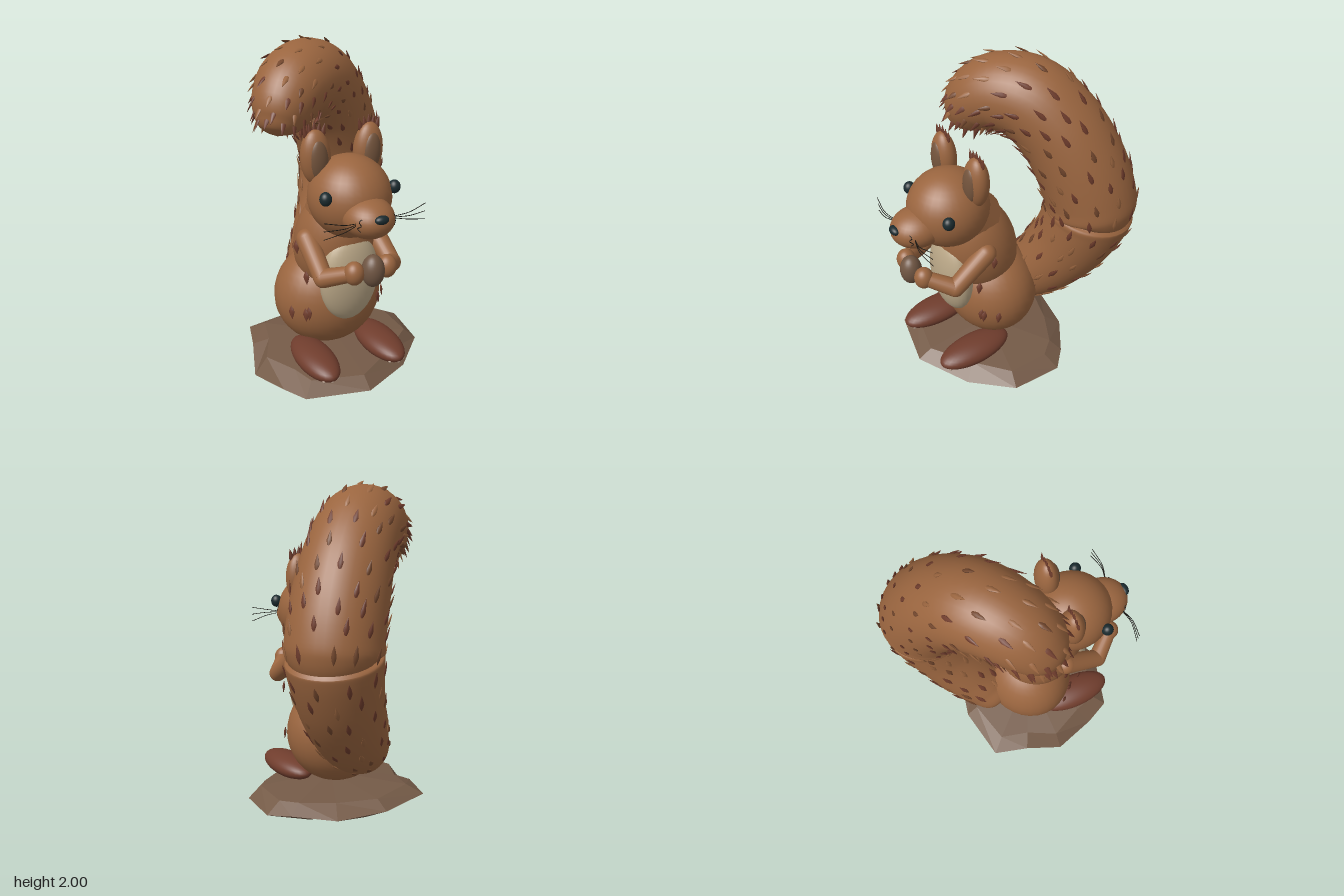
import * as THREE from 'three';
import { mergeGeometries } from 'three/addons/utils/BufferGeometryUtils.js';

const V = (x, y, z) => new THREE.Vector3(x, y, z);
const mat = (name, color) => {
  const m = new THREE.MeshStandardMaterial({ color });
  m.name = name;
  return m;
};

// Skin through rings of points, smooth around the loop
function loft(rings) {
  const n = rings[0].length, index = [];
  for (let i = 0; i < rings.length - 1; i++)
    for (let j = 0; j < n; j++) {
      const k = (j + 1) % n, a = i * n, b = a + n;
      index.push(a + j, a + k, b + j, a + k, b + k, b + j);
    }
  const g = new THREE.BufferGeometry().setFromPoints(rings.flat());
  g.setIndex(index);
  g.computeVertexNormals();
  return g;
}

export function createModel() {
  const fur = mat('fur', 0x9a653f), darkFur = mat('darkFur', 0x74482e), rust = mat('rust', 0x703d2d);
  const cream = mat('cream', 0xbaa787), shell = mat('shell', 0x6f5542), earPink = mat('innerEar', 0x75553d);
  const stone = mat('stone', 0x745a47), dark = mat('eyeDark', 0x1a2a2e);
  const black = mat('black', 0x15130f), claw = mat('claw', 0xb09a88);

  const model = new THREE.Group();
  const animal = new THREE.Group();
  animal.name = 'squirrel';
  animal.position.x = -0.06;
  model.add(animal);

  const add = (name, geo, m, parent = animal) => {
    const mesh = new THREE.Mesh(geo, m);
    mesh.name = name;
    parent.add(mesh);
    return mesh;
  };
  const ball = (name, m, p, r, tilt = 0) => {
    const mesh = add(name, new THREE.SphereGeometry(1, 32, 20), m);
    mesh.position.set(...p);
    mesh.scale.set(...r);
    mesh.rotation.x = tilt;
    return mesh;
  };
  const limb = (name, a, b, ra, rb) => {
    const d = b.clone().sub(a);
    const mesh = add(name, new THREE.CylinderGeometry(rb, ra, d.length(), 24), fur);
    mesh.position.copy(a).add(b).multiplyScalar(0.5);
    mesh.quaternion.setFromUnitVectors(V(0, 1, 0), d.normalize());
    return mesh;
  };
  const wire = (name, pts, r) =>
    add(name, new THREE.TubeGeometry(new THREE.CatmullRomCurve3(pts), 12, r, 5), black);
  // Pointed tuft lying along dir with its flat side facing out
  const tuftProfile = [[0.001, -1], [0.7, -0.5], [1, -0.1], [0.55, 0.5], [0.001, 1]].map(p => new THREE.Vector2(...p));
  const leaf = (p, dir, out, len, wid) => {
    const y = dir.clone().normalize();
    const x = y.clone().cross(out).normalize();
    const z = x.clone().cross(y);
    const g = new THREE.LatheGeometry(tuftProfile, 6).scale(wid, len, wid * 0.4);
    return g.applyMatrix4(new THREE.Matrix4().makeBasis(x, y, z).setPosition(p));
  };

  // Torso, neck and head
  ball('lowerBody', fur, [0, 0.5, 0.06], [0.33, 0.32, 0.28]);
  ball('upperBody', fur, [0, 0.865, 0.148], [0.235, 0.35, 0.238], 0.3);
  ball('belly', cream, [0, 0.72, 0.335], [0.18, 0.275, 0.1], 0.03);
  limb('neck', V(0, 1.035, 0.155), V(0, 1.15, 0.255), 0.178, 0.178);
  ball('head', fur, [0, 1.21, 0.33], [0.23, 0.23, 0.24]);
  ball('muzzle', fur, [0, 1.16, 0.53], [0.14, 0.11, 0.16]);
  ball('nose', dark, [0, 1.195, 0.675], [0.04, 0.024, 0.026]);
  ball('nut', shell, [0, 0.875, 0.6], [0.063, 0.092, 0.063]);

  for (const s of [-1, 1]) {
    ball('eye', dark, [s * 0.207, 1.268, 0.455], [0.033, 0.038, 0.034]);

    // Ear with inner dish and a fan of tip tufts
    ball('ear', fur, [s * 0.16, 1.425, 0.243], [0.087, 0.155, 0.066]).rotation.z = -s * 0.06;
    ball('innerEar', earPink, [s * 0.16, 1.42, 0.283], [0.055, 0.112, 0.034]).rotation.z = -s * 0.06;
    const tips = [];
    for (let i = -2; i <= 2; i++)
      tips.push(leaf(V(s * 0.165 + i * 0.026, 1.575 - Math.abs(i) * 0.008, 0.24),
        V(i * 0.12, 1, 0), V(0, 0, 1), 0.05, 0.018));
    add('earTuft', mergeGeometries(tips), rust);

    // Bent arm holding the nut
    const shoulder = V(s * 0.205, 0.945, 0.22), elbow = V(s * 0.215, 0.805, 0.44), hand = V(s * 0.1, 0.87, 0.575);
    limb('upperArm', shoulder, elbow, 0.062, 0.053);
    limb('forearm', elbow, hand, 0.053, 0.043);
    ball('shoulder', fur, shoulder.toArray(), [0.062, 0.062, 0.062]);
    ball('elbow', fur, elbow.toArray(), [0.053, 0.053, 0.053]);
    ball('hand', fur, hand.toArray(), [0.055, 0.066, 0.055]);

    // Foot and claws
    ball('foot', rust, [s * 0.215, 0.23, 0.325], [0.11, 0.07, 0.243]);
    for (let i = -1; i <= 1; i++)
      ball('claw', claw, [s * 0.215 + i * 0.045, 0.209, 0.55 - Math.abs(i) * 0.02], [0.008, 0.008, 0.012]);

    // Whiskers and mouth line
    for (let i = -1; i <= 1; i++)
      wire('whisker', [V(s * 0.115, 1.168 + i * 0.006, 0.615), V(s * 0.19, 1.168 + i * 0.02, 0.633),
        V(s * 0.3, 1.168 + i * 0.045, 0.617)], 0.002);
    const lip = [[1.2, 0.635], [1.185, 0.628], [1.168, 0.642], [1.15, 0.625], [1.132, 0.635]];
    wire('mouth', lip.map(([y, z]) => V(s * 0.14 * Math.sqrt(
      1 - ((y - 1.16) / 0.11) ** 2 - ((z - 0.53) / 0.16) ** 2), y, z)), 0.0025);

    // Loose tufts on shoulder, flank and thigh
    const spots = [[0.262, 0.9, 0.2, 0.042], [0.25, 0.75, 0.3, 0.042], [0.3, 0.49, 0.2, 0.042],
      [0.225, 0.5, 0.275, 0.042], [0.24, 0.49, 0.265, 0.042]];
    add('bodyTuft', mergeGeometries(spots.map(([x, y, z, l]) =>
      leaf(V(s * x, y, z), V(0, -1, 0.15), V(s, 0, 0.7), l, 0.02))), rust);
  }

  // Tail: a hooked path in a slanted upright plane, as [along, height, radius]
  const profile = [[-0.08, 0.42, 0.002], [-0.07, 0.425, 0.14], [0.04, 0.49, 0.185], [0.17, 0.605, 0.215],
    [0.33, 0.83, 0.243], [0.412, 1.03, 0.262], [0.425, 1.085, 0.264], [0.428, 1.1, 0.238], [0.43, 1.115, 0.264],
    [0.415, 1.2, 0.266], [0.335, 1.4, 0.262], [0.205, 1.6, 0.25], [0.03, 1.735, 0.238], [-0.16, 1.738, 0.216],
    [-0.27, 1.665, 0.187], [-0.325, 1.575, 0.14], [-0.345, 1.525, 0.09], [-0.352, 1.5, 0.002]];
  const path = new THREE.CatmullRomCurve3(profile.map(p => V(...p)), false, 'centripetal');
  const along = V(0.81, 0, -0.587), up = V(0, 1, 0);
  const frame = t => {
    const p = path.getPoint(t), q = path.getTangent(t);
    const l = Math.hypot(q.x, q.y) || 1;
    const T = along.clone().multiplyScalar(q.x / l).addScaledVector(up, q.y / l);
    const N = along.clone().multiplyScalar(q.y / l).addScaledVector(up, -q.x / l);
    const C = V(0, p.y, -0.18).addScaledVector(along, p.x);
    return { T, N, B: T.clone().cross(N), C, r: Math.max(p.z, 0.002) };
  };
  const around = (f, a) => f.N.clone().multiplyScalar(Math.cos(a)).addScaledVector(f.B, Math.sin(a));
  const rings = [];
  for (let i = 0; i <= 102; i++) {
    const f = frame(i / 102), ring = [];
    for (let j = 0; j < 36; j++) ring.push(f.C.clone().addScaledVector(around(f, j / 36 * Math.PI * 2), f.r));
    rings.push(ring);
  }
  add('tail', loft(rings), fur);

  // Tail tufts in staggered rows, tips lifted off the surface
  let seed = 7;
  const rnd = () => (seed = (seed * 16807) % 2147483647) / 2147483647;
  const tufts = [[], [], []];
  const rows = [2.1, 2.65, 3.15, 3.6, 4.05, 4.5, 5, 8.2, 9.1, 9.5, 9.9, 10.35, 10.8, 11.2, 11.6,
    12, 12.45, 12.9, 13.35, 13.85, 14.35, 14.85, 15.4];
  rows.forEach((row, i) => {
    const count = row > 14.5 ? 10 : 11;
    for (let j = 0; j < count; j++) {
      const f = frame((row + (rnd() - 0.5) * 0.15) / (profile.length - 1));
      const out = around(f, (j + (i % 2) / 2 + (rnd() - 0.5) * 0.4) / count * Math.PI * 2);
      const p = f.C.clone().addScaledVector(out, f.r + 0.005);
      const dir = f.T.clone().addScaledVector(out, 0.22);
      tufts[[0, 1, 2, 2][Math.floor(rnd() * 4)]].push(leaf(p, dir, out, 0.046 + rnd() * 0.014, 0.016));
    }
  });
  [fur, darkFur, rust].forEach((m, i) => add('tailTufts', mergeGeometries(tufts[i]), m));

  // Faceted rock base: [x, z, rim height]
  const rim = [[0.51, -0.06, 0.11], [0.41, -0.17, 0.12], [0.2, -0.33, 0.1], [-0.1, -0.395, 0.11],
    [-0.43, -0.33, 0.12], [-0.49, -0.12, 0.13], [-0.565, 0.1, 0.06], [-0.49, 0.36, 0.1],
    [-0.42, 0.51, 0.11], [-0.06, 0.605, 0.11], [0.26, 0.45, 0.09], [0.48, 0.24, 0.1]];
  const layer = (scale, y, wobble) => rim.map(([x, z, h], i) => {
    const k = scale + Math.sin(i * 2.4) * wobble;
    return V(-0.03 + (x + 0.03) * k, y === null ? h : y + Math.sin(i * 1.9) * wobble * 0.15, 0.1 + (z - 0.1) * k);
  });
  const rock = loft([layer(0.001, 0, 0), layer(0.6, 0.015, 0.05), layer(1, null, 0),
    layer(0.82, 0.168, 0.035), layer(0.001, 0.212, 0)]).toNonIndexed();
  rock.computeVertexNormals();
  add('rock', rock, stone, model);

  return model;
}
